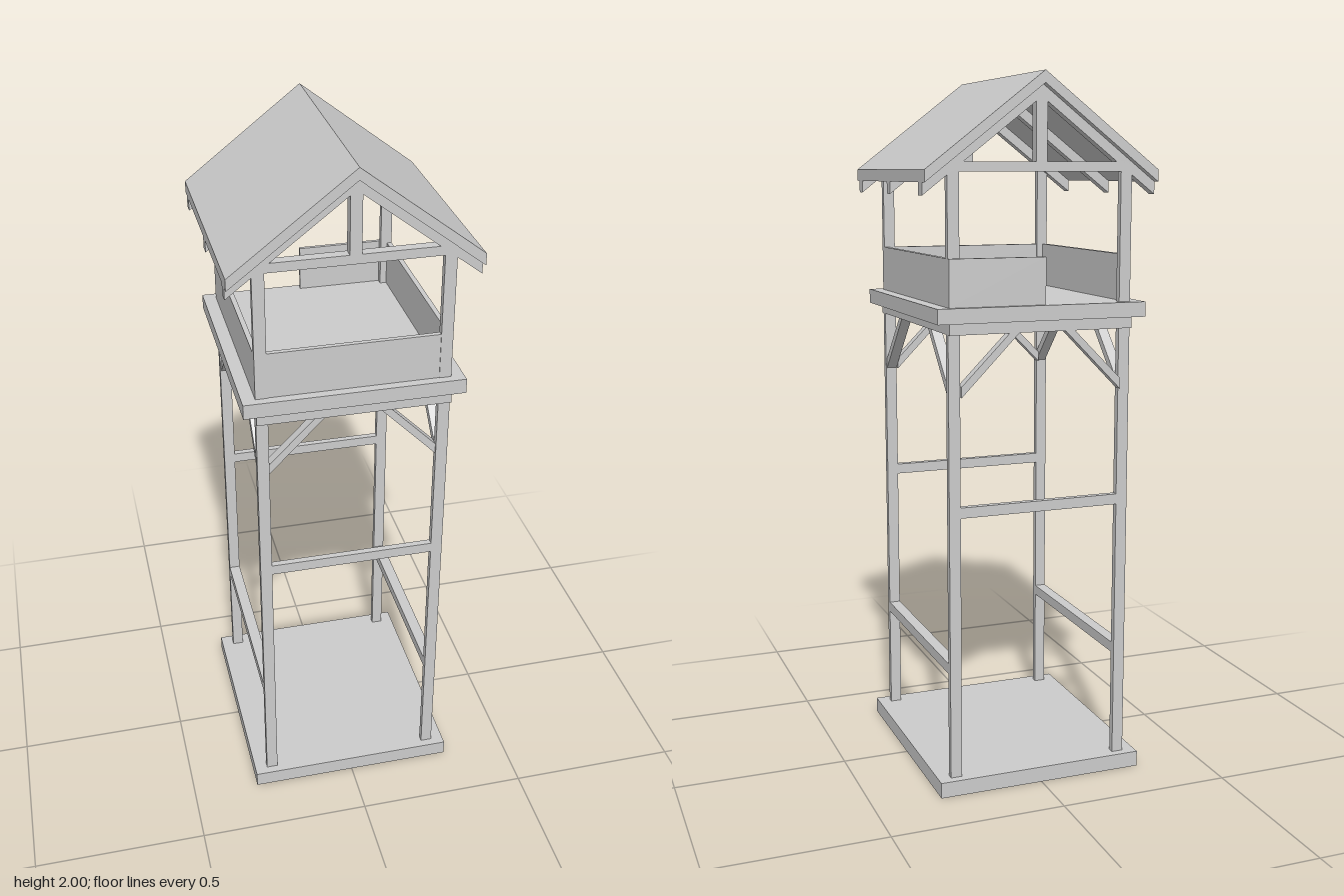
import * as THREE from 'three';

const material = new THREE.MeshStandardMaterial({ color: 0xcccccc, flatShading: true });

export function createModel() {
  const tower = new THREE.Group();
  tower.name = 'watchtower';

  const add = (name, geometry) => {
    const mesh = new THREE.Mesh(geometry, material);
    mesh.name = name;
    tower.add(mesh);
    return mesh;
  };
  // Box given by its limits on each axis
  const box = (name, [x0, x1], [y0, y1], [z0, z1]) =>
    add(name, new THREE.BoxGeometry(x1 - x0, y1 - y0, z1 - z0)
      .translate((x0 + x1) / 2, (y0 + y1) / 2, (z0 + z1) / 2));
  // Range mirrored to the chosen side of an axis
  const side = (s, a, b) => (s > 0 ? [a, b] : [-b, -a]);
  // Outline in the xy plane, extruded from z0 to z1
  const slab = (name, points, z0, z1) => {
    const shape = new THREE.Shape(points.map(([x, y]) => new THREE.Vector2(x, y)));
    return add(name, new THREE.ExtrudeGeometry(shape, { depth: z1 - z0, bevelEnabled: false })
      .translate(0, 0, z0));
  };

  const postIn = 0.235, postOut = 0.268, postZ = [0.293, 0.312];

  // Base and lookout floor
  box('base', [-0.305, 0.305], [0, 0.045], [-0.336, 0.336]);
  box('floor', [-0.305, 0.305], [1.338, 1.38], [-0.336, 0.336]);

  for (const s of [1, -1]) {
    // Corner posts
    for (const t of [1, -1]) {
      box('post', side(s, postIn, postOut), [0.045, 1.74], side(t, ...postZ));
    }
    // Cross rails: front and back high, sides low
    box('endRail', [-postIn, postIn], [0.8, 0.83], side(s, ...postZ));
    box('sideRail', side(s, postIn, postOut), [0.35, 0.38], [-0.293, 0.293]);
    // Beams under the floor
    box('endBeam', [-postOut, postOut], [1.307, 1.338], side(s, 0.295, 0.325));
    box('sideBeam', side(s, postIn, postOut), [1.307, 1.338], [-0.295, 0.295]);
    // Side parapets and top plates
    box('sideParapet', side(s, 0.254, postOut), [1.38, 1.51], [-0.295, 0.295]);
    box('topPlate', side(s, postIn, postOut), [1.737, 1.763], [-0.293, 0.293]);
    // Gable ties and king posts
    box('tieBeam', [-postOut, postOut], [1.737, 1.763], side(s, 0.282, 0.312));
    box('kingPost', [-0.016, 0.016], [1.763, 1.935], side(s, 0.282, 0.312));
  }

  // Front parapet, and half parapet at the back leaving an entrance
  box('frontParapet', [-postOut, postOut], [1.38, 1.51], [0.296, 0.31]);
  box('backParapet', [-0.01, postOut], [1.38, 1.51], [-0.323, -0.312]);

  // Diagonal braces between posts and floor beams
  const brace = (reach) => [
    [reach, 1.137], [reach, 1.167], [reach - 0.14, 1.308], [reach - 0.168, 1.308],
  ];
  for (const s of [1, -1]) {
    const mirrored = (reach) => brace(reach).map(([a, y]) => [a * s, y]);
    slab('frontBrace', mirrored(postIn), 0.277, 0.306);
    slab('backBrace', mirrored(postIn), -0.325, -0.296);
    for (const x of [-0.25, 0.25]) {
      const mesh = slab('sideBrace', mirrored(0.294), -0.015, 0.015);
      mesh.rotation.y = Math.PI / 2;
      mesh.position.x = x;
    }
  }

  // Gabled roof skin with three chevron rafters below
  const chevron = (top, drop, reach = 0.337, fall = 0.258) => [
    [-reach, top - fall], [0, top], [reach, top - fall],
    [reach, top - fall - drop], [0, top - drop], [-reach, top - fall - drop],
  ];
  slab('roof', chevron(2, 0.033), -0.336, 0.336);
  for (const z of [-0.296, 0, 0.296]) {
    slab('rafter', chevron(1.967, 0.034), z - 0.016, z + 0.016);
  }

  return tower;
}
